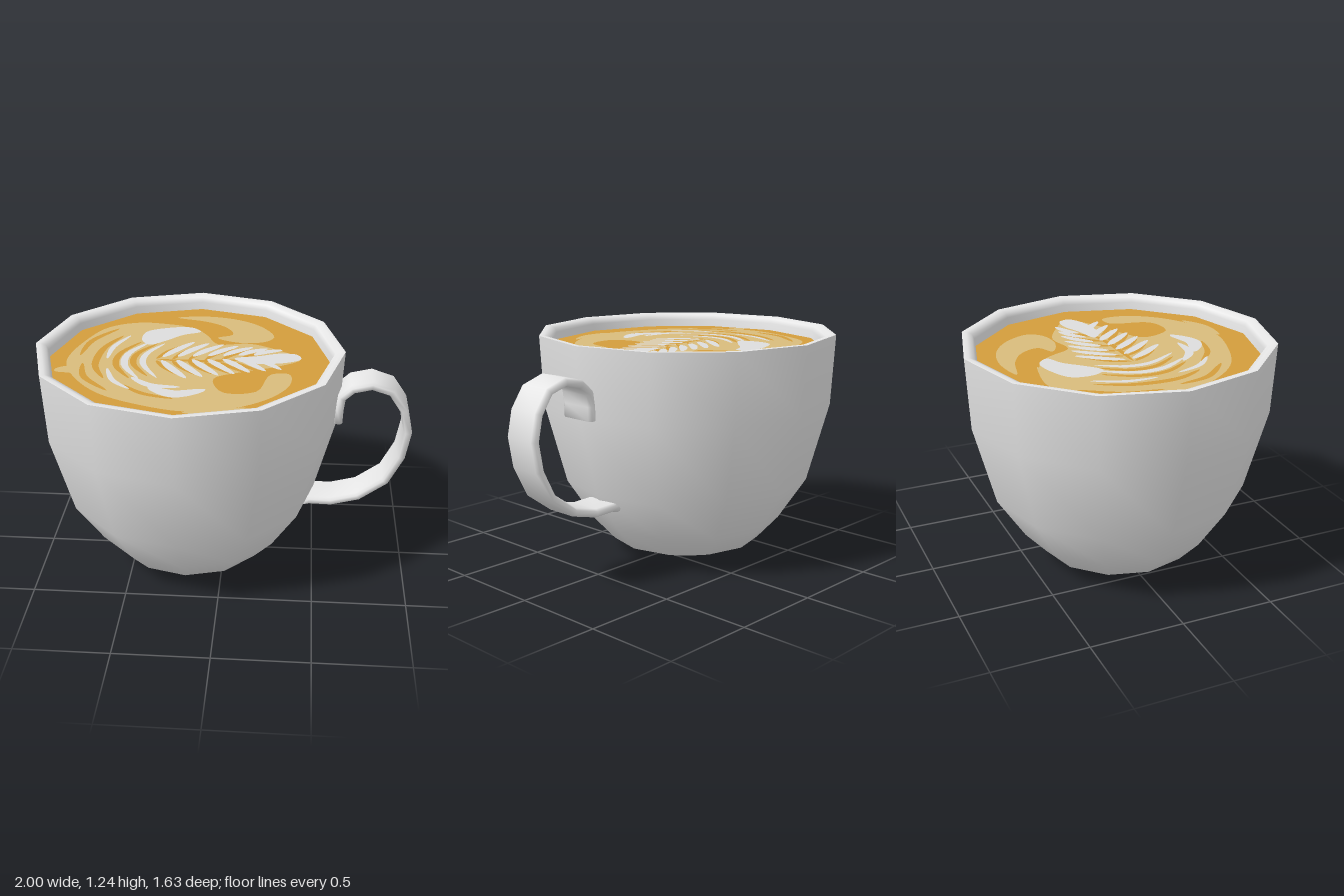
import * as THREE from 'three';

const CUP_X = -0.185, SIDES = 12, LIQUID_Y = 1.16;
const mat = (name, color) => {
  const m = new THREE.MeshStandardMaterial({ color });
  m.name = name;
  return m;
};
const v2 = (list) => list.map(([x, y]) => new THREE.Vector2(x, y));

// Flat band swept along a path in the xy plane, with softly bevelled edges
function bandGeometry(path) {
  const ring = [[0.023, -0.085], [0.023, 0.085], [0.012, 0.103], [-0.012, 0.103],
    [-0.022, 0.085], [-0.022, -0.085], [-0.012, -0.103], [0.012, -0.103]];
  const n = ring.length, pos = [], idx = [];
  path.forEach(([x, y], i) => {
    const a = path[Math.max(i - 1, 0)], b = path[Math.min(i + 1, path.length - 1)];
    const t = new THREE.Vector2(b[0] - a[0], b[1] - a[1]).normalize();
    ring.forEach(([o, z]) => pos.push(x - t.y * o, y + t.x * o, z));
  });
  for (let i = 0; i < path.length - 1; i++) {
    for (let j = 0; j < n; j++) {
      const a = i * n + j, b = i * n + (j + 1) % n;
      idx.push(a, b, a + n, b, b + n, a + n);
    }
  }
  const last = (path.length - 1) * n;
  for (let j = 1; j < n - 1; j++) idx.push(0, j + 1, j, last, last + j, last + j + 1);
  const g = new THREE.BufferGeometry();
  g.setAttribute('position', new THREE.Float32BufferAttribute(pos, 3));
  g.setIndex(idx);
  g.computeVertexNormals();
  return g;
}

// Closed smooth patch through [x, z] points
function blob(points) {
  const curve = new THREE.CatmullRomCurve3(points.map(([x, z]) => new THREE.Vector3(x, -z, 0)), true);
  return new THREE.Shape(curve.getPoints(points.length * 5).map((p) => new THREE.Vector2(p.x, p.y)));
}

// Tapered brush stroke along [x, z] points
function stroke(points, width) {
  const curve = new THREE.SplineCurve(v2(points.map(([x, z]) => [x, -z])));
  const one = [], two = [], N = 14;
  for (let i = 0; i <= N; i++) {
    const u = i / N, p = curve.getPoint(u), t = curve.getTangent(u);
    const w = width * 0.5 * (0.08 + 0.92 * Math.sin(Math.PI * u) ** 0.7);
    one.push(new THREE.Vector2(p.x - t.y * w, p.y + t.x * w));
    two.unshift(new THREE.Vector2(p.x + t.y * w, p.y - t.x * w));
  }
  return new THREE.Shape([...one, ...two]);
}

export function createModel() {
  const group = new THREE.Group();
  const china = mat('china', 0xe6e6e6);
  const coffee = mat('coffee', 0xd39d3c);
  const crema = mat('crema', 0xd8bb7c);
  const foam = mat('foam', 0xdcdcdc);
  const add = (name, geometry, material, x = 0, y = 0) => {
    const m = new THREE.Mesh(geometry, material);
    m.name = name;
    m.position.set(x, y, 0);
    group.add(m);
  };
  const layer = (name, shapes, material, y) => {
    add(name, new THREE.ShapeGeometry(shapes).rotateX(-Math.PI / 2), material, 0, y);
  };

  // Cup body, rim and inner wall
  const lathe = (pts) => new THREE.LatheGeometry(v2(pts), SIDES);
  add('cupBody', lathe([[0, 0], [0.21, 0], [0.415, 0.075], [0.53, 0.2], [0.68, 0.43],
    [0.795, 0.86], [0.815, 1.235]]), china, CUP_X);
  add('cupRim', lathe([[0.815, 1.235], [0.79, 1.236], [0.762, 1.225], [0.75, 1.2], [0.74, 1.12]]), china, CUP_X);

  // Handle
  add('handle', bandGeometry([[0.607, 0.865], [0.61, 0.94], [0.62, 1.01], [0.675, 1.06], [0.775, 1.084],
    [0.88, 1.05], [0.948, 0.95], [0.976, 0.82], [0.95, 0.67], [0.875, 0.52], [0.735, 0.418],
    [0.59, 0.38], [0.47, 0.383], [0.43, 0.372]]), china);

  // Coffee surface
  add('coffeeSurface', new THREE.CircleGeometry(0.747, SIDES).rotateX(-Math.PI / 2), coffee, CUP_X, LIQUID_Y);

  // Pale crema swirls
  layer('cremaSwirl', [
    blob([[-0.68, -0.42], [-0.52, -0.5], [-0.36, -0.49], [-0.2, -0.44], [-0.12, -0.34], [-0.05, -0.22],
      [0.12, -0.24], [0.28, -0.16], [0.4, -0.05], [0.28, 0.05], [0.1, 0.13], [-0.04, 0.22], [0.02, 0.38],
      [0.18, 0.36], [0.25, 0.15], [0.34, 0.14], [0.35, 0.26], [0.26, 0.42], [0.08, 0.55], [-0.14, 0.6],
      [-0.36, 0.55], [-0.6, 0.43], [-0.76, 0.24], [-0.83, 0.05], [-0.78, -0.22]]),
    blob([[-0.31, -0.59], [-0.15, -0.62], [0.04, -0.58], [0.18, -0.48], [0.25, -0.34], [0.2, -0.27],
      [0.06, -0.25], [-0.06, -0.31], [0.02, -0.36], [-0.02, -0.46], [-0.14, -0.54]]),
    stroke([[-0.87, 0.18], [-0.8, 0.16], [-0.7, 0.2]], 0.08),
    stroke([[-0.16, 0.61], [0.0, 0.6], [0.14, 0.54]], 0.05),
  ], crema, LIQUID_Y + 0.003);

  // Coffee lines showing through the crema
  const gaps = [
    stroke([[-0.62, -0.4], [-0.74, -0.22], [-0.77, -0.02]], 0.035),
    stroke([[-0.58, -0.3], [-0.66, -0.12], [-0.67, 0.1], [-0.6, 0.26]], 0.04),
    stroke([[-0.74, 0.08], [-0.7, 0.25], [-0.56, 0.4]], 0.035),
    stroke([[-0.47, -0.22], [-0.56, -0.06], [-0.56, 0.1], [-0.47, 0.25]], 0.035),
    stroke([[-0.38, -0.2], [-0.47, -0.06], [-0.47, 0.08], [-0.38, 0.22]], 0.035),
    stroke([[-0.5, 0.32], [-0.38, 0.42], [-0.22, 0.47]], 0.03),
    stroke([[-0.26, -0.46], [-0.14, -0.42], [-0.09, -0.3]], 0.035),
    stroke([[-0.36, 0.01], [-0.1, 0.01], [0.1, -0.02]], 0.03),
  ];
  for (let i = 0; i < 6; i++) {
    const x = -0.36 + i * 0.085, len = 0.2 - i * 0.014;
    for (const s of [-1, 1]) {
      gaps.push(stroke([[x, 0.01 + s * 0.01], [x + 0.05, s * len * 0.5], [x + 0.14, s * len]], 0.03));
    }
  }
  layer('coffeeLines', gaps, coffee, LIQUID_Y + 0.005);

  // White foam leaf with feathered sides and arcs around its base
  const white = [
    blob([[0.05, -0.03], [0.18, -0.07], [0.29, -0.11], [0.38, -0.1], [0.4, -0.04], [0.32, 0.01], [0.2, 0.03], [0.1, 0.02]]),
    blob([[-0.47, -0.24], [-0.46, -0.36], [-0.36, -0.42], [-0.22, -0.44], [-0.16, -0.38], [-0.25, -0.33], [-0.34, -0.24], [-0.42, -0.18]]),
    stroke([[-0.36, 0.35], [-0.22, 0.42], [-0.07, 0.36]], 0.08),
    stroke([[-0.46, 0.24], [-0.35, 0.33], [-0.2, 0.34]], 0.045),
    stroke([[-0.42, -0.22], [-0.515, -0.06], [-0.515, 0.1], [-0.42, 0.26]], 0.04),
    stroke([[-0.34, -0.2], [-0.42, -0.06], [-0.42, 0.08], [-0.33, 0.24]], 0.035),
    stroke([[-0.54, -0.3], [-0.61, -0.14], [-0.62, 0.02]], 0.03),
    stroke([[-0.6, 0.14], [-0.55, 0.28], [-0.45, 0.38]], 0.03),
  ];
  for (let i = 0; i < 7; i++) {
    const x = -0.33 + i * 0.08, len = 0.235 - i * 0.018, y = -0.01 * i;
    for (const s of [-1, 1]) {
      white.push(stroke([[x, y + s * 0.02], [x + 0.06, y + s * len * 0.5], [x + 0.15, y * 0.5 + s * len]], 0.045));
    }
  }
  layer('foamLeaf', white, foam, LIQUID_Y + 0.007);
  return group;
}
